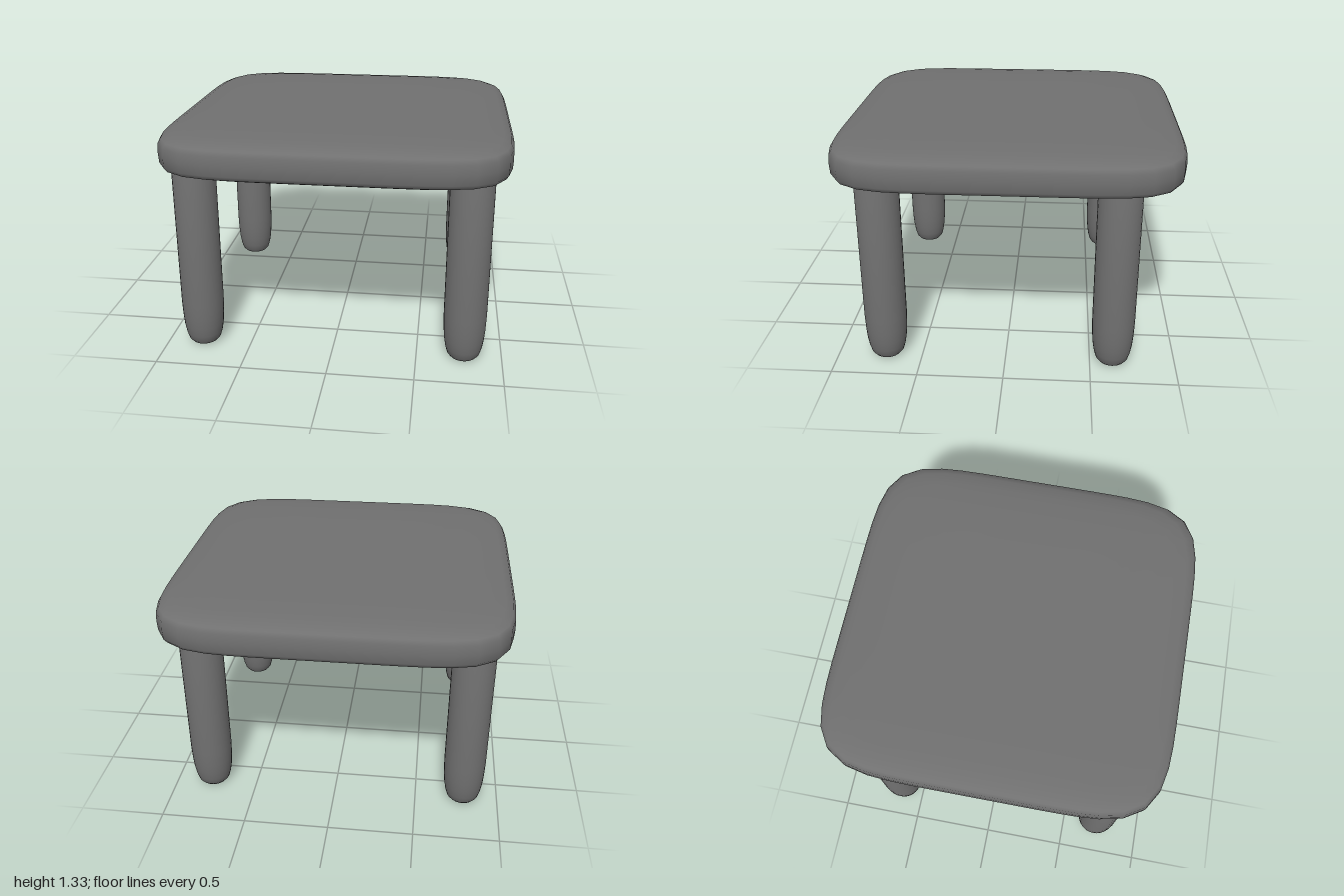
import * as THREE from 'three';

const material = new THREE.MeshStandardMaterial({ color: 0x707070 });

// Soft square slab: rounded-square rings stacked along an edge profile of [scale, height]
function slabGeometry(profile, segments = 64) {
  const positions = [], indices = [];
  for (const [scale, y] of profile) {
    for (let i = 0; i < segments; i++) {
      const a = (i / segments) * Math.PI * 2;
      const c = Math.cos(a), s = Math.sin(a);
      const r = scale / Math.pow(Math.abs(c) ** 6.2 + Math.abs(s) ** 6.2, 1 / 6.2);
      positions.push(r * c, y, r * s);
    }
  }
  for (let k = 0; k < profile.length - 1; k++) {
    for (let i = 0; i < segments; i++) {
      const j = (i + 1) % segments;
      const a = k * segments + i, b = k * segments + j;
      const c = a + segments, d = b + segments;
      indices.push(a, b, c, b, d, c);
    }
  }
  // Close the flat middle of both faces
  const last = (profile.length - 1) * segments;
  const top = positions.length / 3;
  positions.push(0, profile[0][1], 0, 0, profile[profile.length - 1][1], 0);
  for (let i = 0; i < segments; i++) {
    const j = (i + 1) % segments;
    indices.push(top, j, i, top + 1, last + i, last + j);
  }
  const geometry = new THREE.BufferGeometry();
  geometry.setAttribute('position', new THREE.Float32BufferAttribute(positions, 3));
  geometry.setIndex(indices);
  geometry.computeVertexNormals();
  return geometry;
}

export function createModel() {
  const model = new THREE.Group();
  model.name = 'table';

  // Table top with gently rounded rims
  const top = new THREE.Mesh(slabGeometry([
    [0.55, 1.333], [0.72, 1.33], [0.86, 1.321], [0.94, 1.309], [0.982, 1.291], [0.997, 1.265],
    [1, 1.21],
    [0.997, 1.155], [0.982, 1.131], [0.94, 1.114], [0.86, 1.102], [0.72, 1.093], [0.55, 1.09],
  ]), material);
  top.name = 'tableTop';
  model.add(top);

  // Round legs with softened feet, let into the top
  const legProfile = [
    [0, 0], [0.03, 0], [0.055, 0.002], [0.078, 0.01], [0.095, 0.03], [0.107, 0.07],
    [0.116, 0.125], [0.121, 0.19], [0.124, 0.28], [0.124, 1.2], [0, 1.2],
  ].map(([r, y]) => new THREE.Vector2(r, y));
  const legGeometry = new THREE.LatheGeometry(legProfile, 32);
  for (const [sideName, x] of [['Right', -0.788], ['Left', 0.775]]) {
    for (const [endName, z] of [['front', 0.71], ['back', -0.63]]) {
      const leg = new THREE.Mesh(legGeometry, material);
      leg.name = `${endName}${sideName}Leg`;
      leg.position.set(x, 0, z);
      model.add(leg);
    }
  }
  return model;
}
